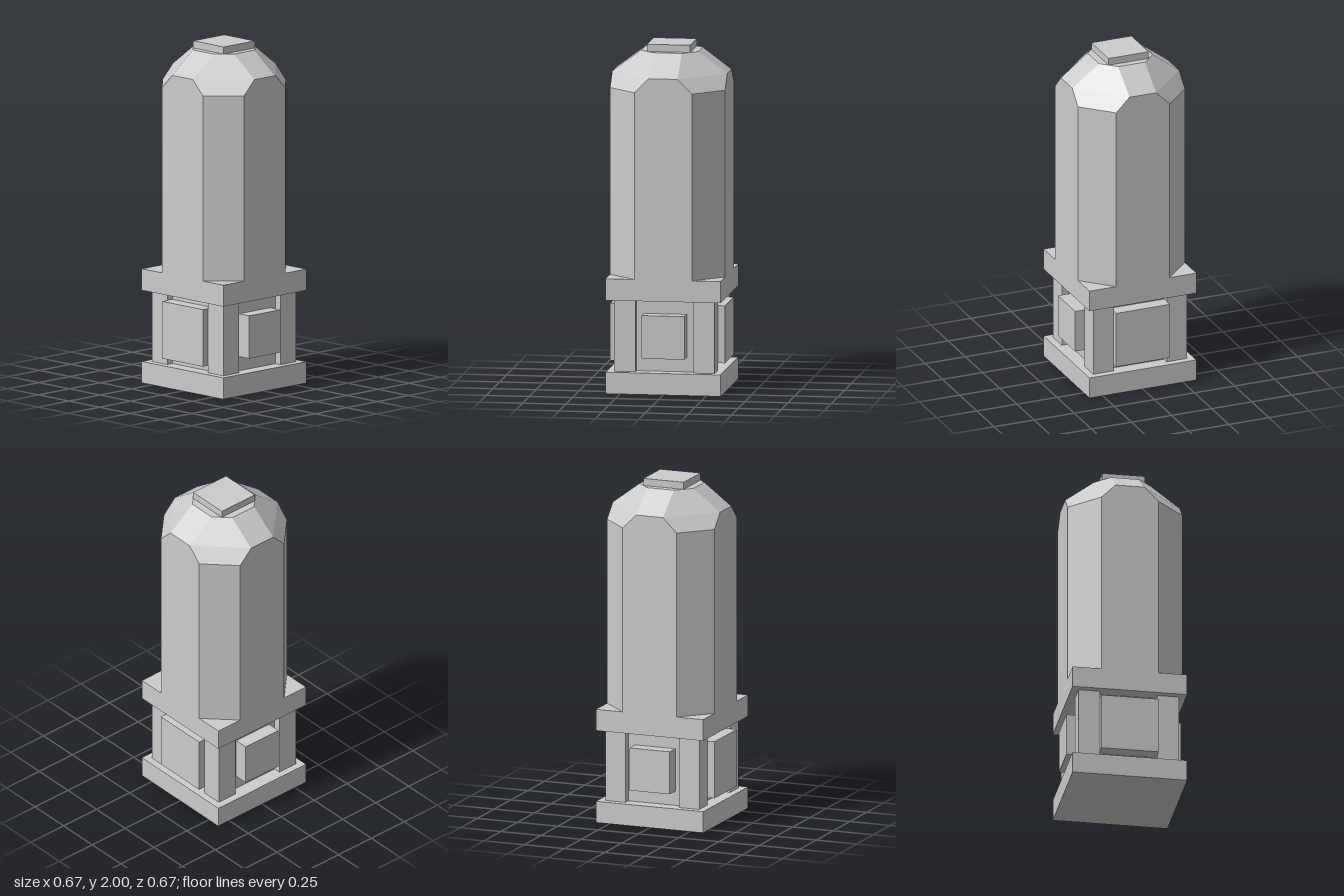
import * as THREE from 'three';
import { ConvexGeometry } from 'three/addons/geometries/ConvexGeometry.js';

const U = 1 / 24; // one modelling unit

export function createModel() {
  const group = new THREE.Group();
  const material = new THREE.MeshStandardMaterial({ color: 0xcccccc, flatShading: true });

  const add = (name, geometry) => {
    const mesh = new THREE.Mesh(geometry, material);
    mesh.name = name;
    group.add(mesh);
    return mesh;
  };

  // Box given by its size, bottom height and centre, all in units
  const box = (name, w, h, d, bottom, x = 0, z = 0) => {
    const mesh = add(name, new THREE.BoxGeometry(w * U, h * U, d * U));
    mesh.position.set(x * U, (bottom + h / 2) * U, z * U);
  };

  // Pedestal: plinth, recessed core and upper slab
  box('plinth', 16, 3, 16, 0);
  box('core', 12, 10, 12, 3);
  box('slab', 16, 3, 16, 13);

  // Corner posts
  for (const x of [-5.5, 5.5])
    for (const z of [-5.5, 5.5]) box('cornerPost', 3, 10, 3, 3, x, z);

  // Raised panels: large on front and back, small on the sides
  for (const s of [-1, 1]) {
    box(s > 0 ? 'frontPanel' : 'backPanel', 8, 8, 2, 4, 0, s * 7);
    box(s > 0 ? 'leftPanel' : 'rightPanel', 2, 6, 6, 5, s * 7, 0);
  }

  // Shaft with chamfered corners and faceted shoulders.
  // Each ring is an octagon: [height, half width, half length of the straight side]
  const points = [];
  for (const [y, a, b] of [[16, 8, 4], [42, 8, 4], [44, 8, 2], [47, 4, 2]])
    for (const sx of [-1, 1])
      for (const sz of [-1, 1])
        for (const [x, z] of [[a, b], [b, a]])
          points.push(new THREE.Vector3(sx * x * U, y * U, sz * z * U));
  add('shaft', new ConvexGeometry(points));

  // Square cap
  box('cap', 6, 1, 6, 47);

  return group;
}
